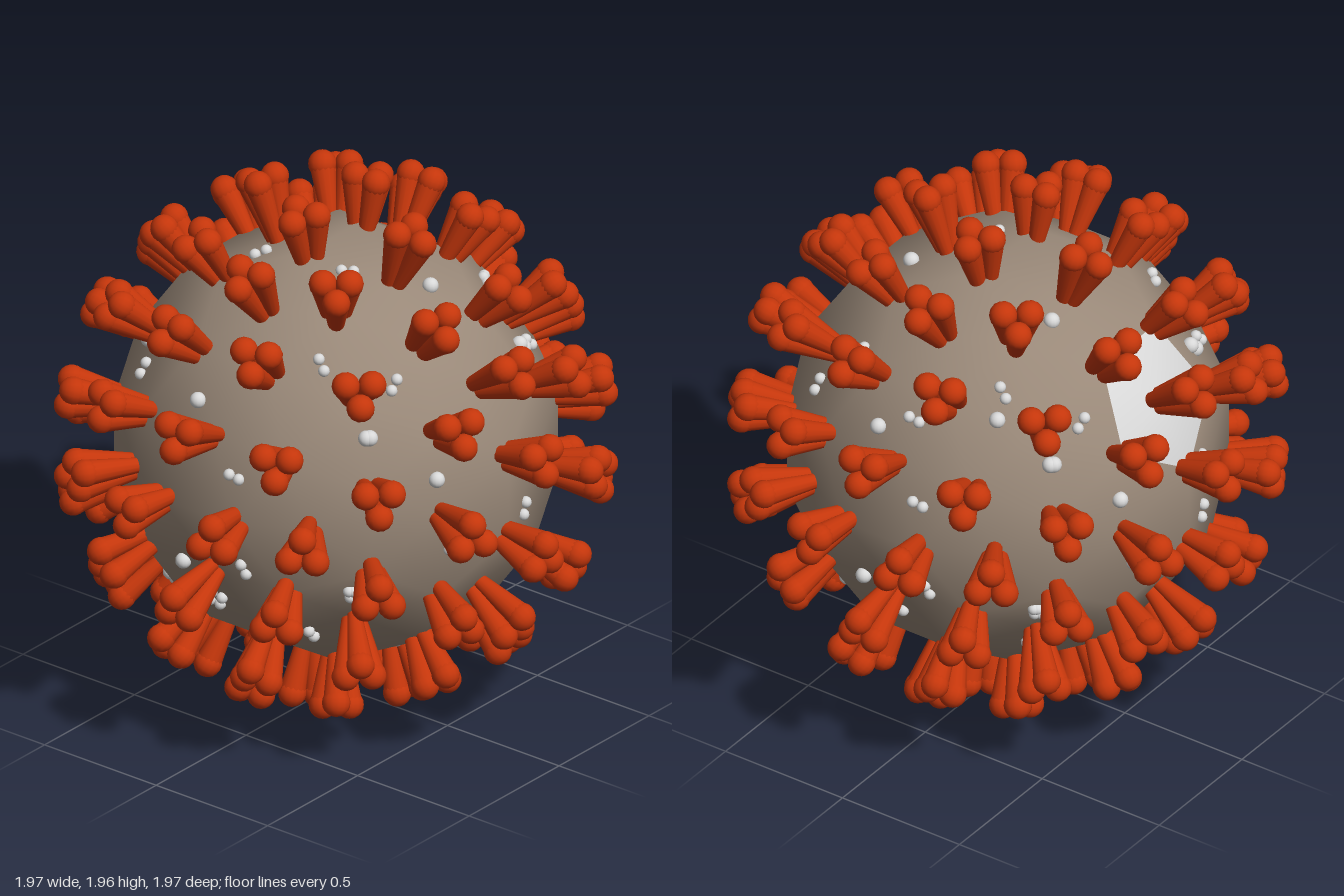
import * as THREE from 'three';
import { mergeGeometries } from 'three/addons/utils/BufferGeometryUtils.js';

const V = (x, y, z) => new THREE.Vector3(x, y, z);
const UP = V(0, 1, 0);
const BODY_R = 0.792;

const shell = new THREE.MeshStandardMaterial({ color: 0x9a8979 });
const red = new THREE.MeshStandardMaterial({ color: 0xc5360b });
const pale = new THREE.MeshStandardMaterial({ color: 0xd8d8d8 });
shell.name = 'shell taupe';
red.name = 'spike red';
pale.name = 'pale grey';

// Icosahedron corners, thirds of its edges and centres of its triangles
function lattice() {
  const t = (1 + Math.sqrt(5)) / 2, corners = [], thirds = [], centres = [];
  for (const a of [-t, t]) for (const b of [-1, 1])
    corners.push(V(a, b, 0), V(0, a, b), V(b, 0, a));
  const near = (p, q) => p.distanceTo(q) < 2.1;
  corners.forEach((p, i) => corners.forEach((q, j) => {
    if (i === j || !near(p, q)) return;
    thirds.push(p.clone().lerp(q, 1 / 3));
    corners.forEach((r, k) => {
      if (i < j && j < k && near(p, r) && near(q, r))
        centres.push(p.clone().add(q).add(r).normalize());
    });
  }));
  corners.forEach(p => p.normalize());
  thirds.forEach(p => p.normalize());
  return { corners, thirds, centres };
}

// Axes around a direction, with y along it
function frame(d) {
  const ref = Math.abs(d.y) > 0.99 ? V(0, 0, 1) : UP;
  const z = ref.clone().addScaledVector(d, -ref.dot(d)).normalize();
  return { x: d.clone().cross(z), z };
}

// Body faces as fans, with rounded normals
function facesGeometry(faces) {
  const pos = [], nor = [];
  for (const { n, ring } of faces) {
    const c = n.clone().multiplyScalar(n.dot(ring[0]));
    ring.forEach((p, i) => {
      for (const v of [c, p, ring[(i + 1) % ring.length]]) {
        pos.push(v.x * BODY_R, v.y * BODY_R, v.z * BODY_R);
        const m = v.clone().normalize();
        nor.push(m.x, m.y, m.z);
      }
    });
  }
  const g = new THREE.BufferGeometry();
  g.setAttribute('position', new THREE.Float32BufferAttribute(pos, 3));
  g.setAttribute('normal', new THREE.Float32BufferAttribute(nor, 3));
  return g;
}

// One spike along +y: three leaning cones with round heads
function spikeGeometry() {
  const parts = [];
  for (let i = 0; i < 3; i++) {
    const a = i * Math.PI * 2 / 3 - Math.PI / 2;
    const at = (r, y) => V(Math.cos(a) * r, y, Math.sin(a) * r);
    const foot = at(0.016, 0.69), head = at(0.054, 0.945);
    const axis = head.clone().sub(foot);
    const cone = new THREE.CylinderGeometry(0.047, 0.022, axis.length(), 14, 1, true);
    cone.applyQuaternion(new THREE.Quaternion().setFromUnitVectors(UP, axis.clone().normalize()));
    const mid = foot.clone().lerp(head, 0.5);
    cone.translate(mid.x, mid.y, mid.z);
    const ball = new THREE.SphereGeometry(0.05, 14, 10);
    ball.translate(head.x, head.y, head.z);
    parts.push(cone, ball);
  }
  return mergeGeometries(parts);
}

export function createModel() {
  const model = new THREE.Group();
  const { corners, thirds, centres } = lattice();

  // Body of 12 pentagons and 20 hexagons, one pentagon pale
  const faces = [...corners, ...centres].map(n => {
    const top = Math.max(...thirds.map(p => p.dot(n)));
    const { x, z } = frame(n);
    const angle = p => Math.atan2(p.dot(x), p.dot(z));
    const ring = thirds.filter(p => p.dot(n) > top - 1e-4).sort((p, q) => angle(p) - angle(q));
    return { n, ring, h: top * BODY_R };
  });
  const isPale = f => f.ring.length === 5 && f.n.x < -0.1 && f.n.y > 0.1;
  const body = new THREE.Mesh(facesGeometry(faces.filter(f => !isPale(f))), shell);
  body.name = 'body';
  const panel = new THREE.Mesh(facesGeometry(faces.filter(isPale)), pale);
  panel.name = 'palePanel';
  model.add(body, panel);

  // Spikes over every corner and face centre
  const spikes = new THREE.Group();
  spikes.name = 'spikes';
  const spikeGeo = spikeGeometry();
  for (const d of [...corners, ...thirds, ...centres]) {
    const { x, z } = frame(d);
    const flip = d.y > 0.01 || (Math.abs(d.y) < 0.01 && d.x * d.z < 0) ? 1 : -1;
    const spike = new THREE.Mesh(spikeGeo, red);
    spike.name = 'spike';
    spike.quaternion.setFromRotationMatrix(new THREE.Matrix4().makeBasis(
      x.multiplyScalar(flip), d, z.multiplyScalar(flip)));
    spikes.add(spike);
  }
  model.add(spikes);

  // Small beads resting on the body, single or in pairs
  const beads = new THREE.Group();
  beads.name = 'beads';
  const big = new THREE.SphereGeometry(0.029, 14, 10);
  const small = new THREE.SphereGeometry(0.021, 12, 8);
  const addBead = (geo, dir) => {
    const d = dir.clone().normalize();
    const r = Math.min(...faces.map(f => f.n.dot(d) > 0.1 ? f.h / f.n.dot(d) : 9));
    const bead = new THREE.Mesh(geo, pale);
    bead.name = 'bead';
    bead.position.copy(d.multiplyScalar(r + 0.008));
    beads.add(bead);
  };
  const addPair = (dir, tilt) => {
    const d = dir.clone().normalize(), { x, z } = frame(d);
    const off = x.multiplyScalar(Math.cos(tilt)).addScaledVector(z, Math.sin(tilt)).multiplyScalar(0.029);
    addBead(small, d.clone().add(off));
    addBead(small, d.clone().sub(off));
  };
  // Spots on three sides, each repeated on the opposite side by a half turn
  const sides = [
    { place: (a, b, c) => V(a, b, c), turn: V(-1, 1, -1),
      singles: [[-0.55, 0.37], [-0.1, 0.37], [0.52, 0.33], [-0.14, -0.28], [-0.32, -0.44], [0.38, -0.54]],
      pairs: [[-0.29, 0.52], [0.3, 0.55], [-0.13, 0.2], [0.13, 0.16], [0.16, -0.21], [-0.56, -0.4], [-0.02, -0.4], [0.49, -0.28]] },
    { place: (a, b, c) => V(c, b, a), turn: V(-1, 1, -1),
      singles: [[0.46, 0.33], [0.29, 0.15], [-0.06, 0.1], [0.37, -0.54]],
      pairs: [[-0.12, 0.13], [-0.52, 0.32], [-0.15, -0.12], [0.22, -0.15], [0.52, -0.28], [-0.53, -0.32], [-0.03, -0.63]] },
    { place: (a, b, c) => V(a, c, b), turn: V(1, -1, -1),
      singles: [[-0.32, -0.52], [0.55, -0.38], [-0.3, -0.15], [-0.55, 0.37], [0.36, -0.1]],
      pairs: [[0.15, 0.12], [-0.22, 0.16], [0.52, 0.31], [-0.04, -0.64], [0.29, -0.5], [-0.55, -0.32]] },
  ];
  for (const { place, turn, singles, pairs } of sides) {
    const spot = ([a, b]) => place(a, b, Math.sqrt(Math.max(0.01, 0.6 - a * a - b * b)));
    for (const s of [V(1, 1, 1), turn]) {
      singles.forEach(p => addBead(big, spot(p).multiply(s)));
      pairs.forEach((p, i) => addPair(spot(p).multiply(s), i * 1.1));
    }
  }
  model.add(beads);

  // Raise to stand on the ground
  model.children.forEach(c => { c.position.y = 1; });
  return model;
}
